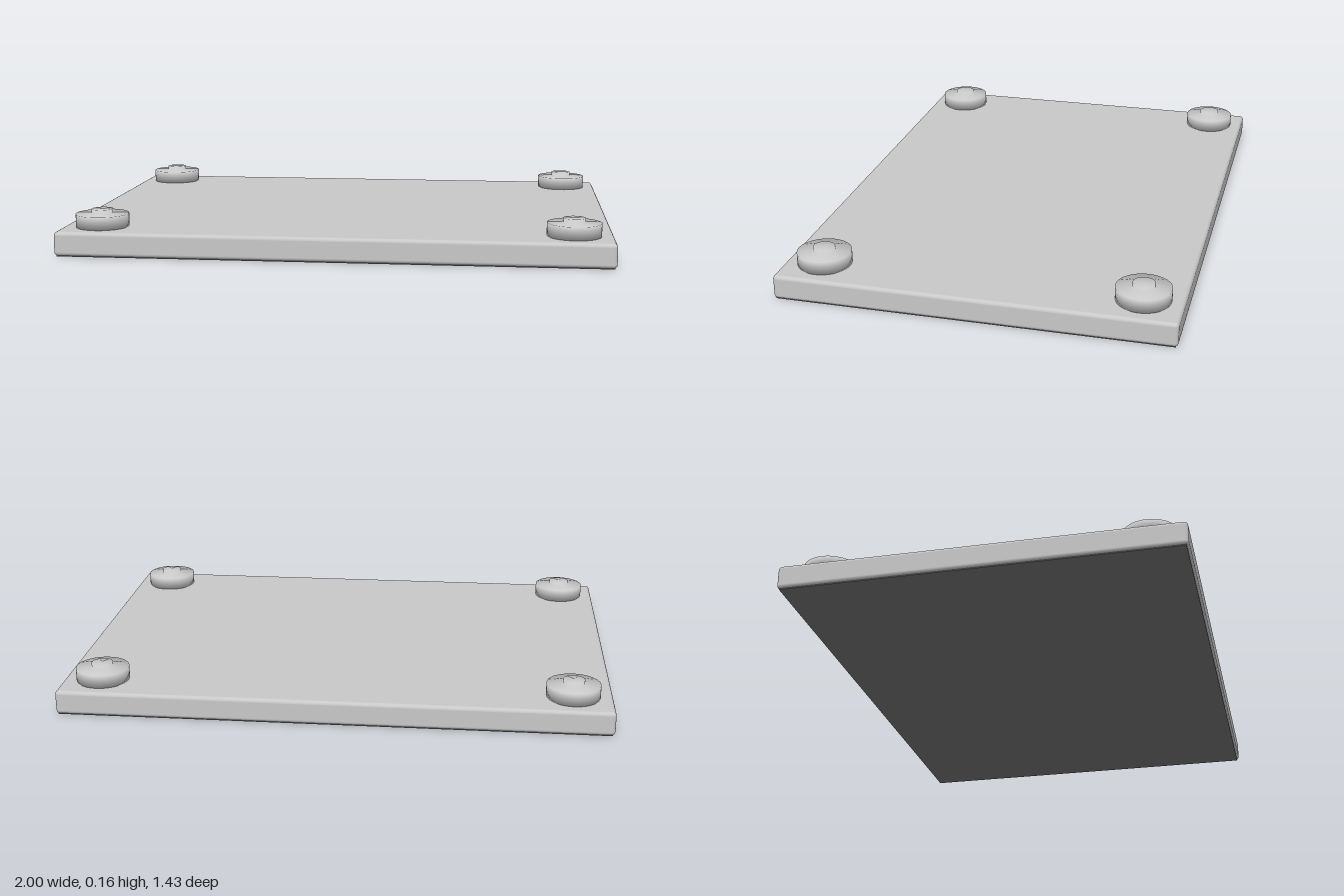
import * as THREE from 'three';
import { RoundedBoxGeometry } from 'three/addons/geometries/RoundedBoxGeometry.js';

export function createModel() {
  const model = new THREE.Group();
  model.name = 'plate';

  const lightGrey = new THREE.MeshStandardMaterial({ color: 0xc8c8c8 });
  lightGrey.name = 'lightGrey';
  const darkGrey = new THREE.MeshStandardMaterial({ color: 0x747474 });
  darkGrey.name = 'darkGrey';

  // Flat slab with softly rounded edges
  const slab = new THREE.Mesh(new RoundedBoxGeometry(2, 0.088, 1.426, 3, 0.014), lightGrey);
  slab.name = 'slab';
  slab.position.y = 0.046;
  model.add(slab);

  // Thin dark sheet covering the underside
  const underside = new THREE.Mesh(new THREE.BoxGeometry(1.984, 0.006, 1.41), darkGrey);
  underside.name = 'underside';
  underside.position.y = 0.003;
  model.add(underside);

  // Stepped round stud: wide disc with a small raised button, smooth over its edges
  const profile = [
    [0, 0], [0.097, 0], [0.097, 0.048], [0.039, 0.048], [0.039, 0.065], [0, 0.065],
  ].map(([r, y]) => new THREE.Vector2(r, y));
  const studGeometry = new THREE.LatheGeometry(profile, 48);

  // One stud at each corner
  for (const x of [-1, 1]) {
    for (const z of [-1, 1]) {
      const stud = new THREE.Mesh(studGeometry, lightGrey);
      stud.name = (z > 0 ? 'front' : 'back') + (x > 0 ? 'Left' : 'Right') + 'Stud';
      stud.position.set(x * 0.857, 0.09, z * 0.572);
      model.add(stud);
    }
  }

  return model;
}
